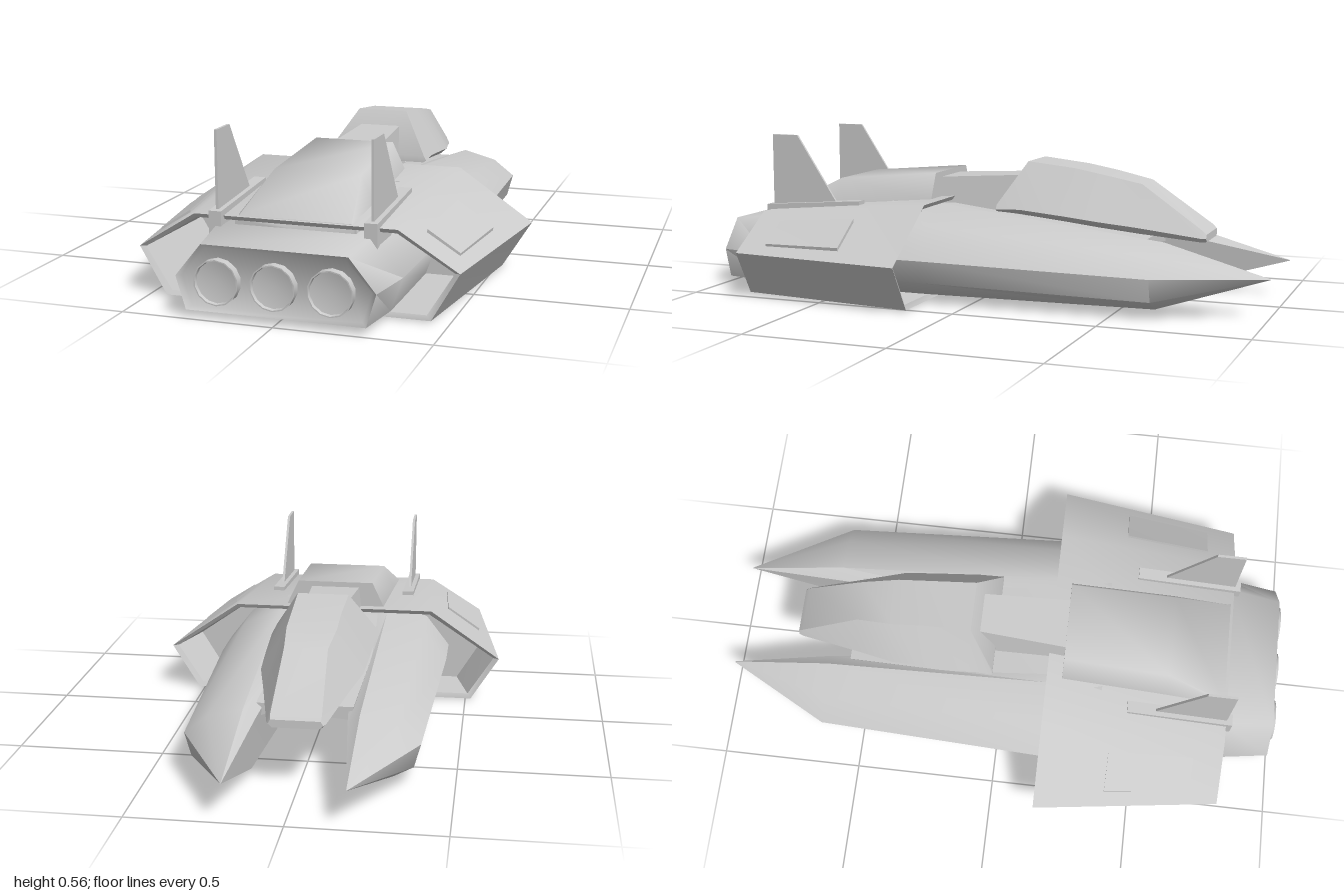
import * as THREE from 'three';
import { toCreasedNormals } from 'three/addons/utils/BufferGeometryUtils.js';

const material = new THREE.MeshStandardMaterial({ color: 0xcccccc, side: THREE.DoubleSide });

function addMesh(parent, name, geometry) {
  const mesh = new THREE.Mesh(geometry, material);
  mesh.name = name;
  parent.add(mesh);
  return mesh;
}

// Capped skin through rings of [x, y]; rings run counter-clockwise seen from +z, sections from +z to -z.
function loft(sections, crease = 0.65) {
  const n = sections[0].ring.length, position = [], index = [];
  for (const { z, ring } of sections) for (const [x, y] of ring) position.push(x, y, z);
  for (let i = 0; i < sections.length - 1; i++) {
    for (let j = 0; j < n; j++) {
      const a = i * n + j, b = i * n + (j + 1) % n;
      index.push(a, a + n, b, b, a + n, b + n);
    }
  }
  const last = (sections.length - 1) * n;
  for (let j = 1; j < n - 1; j++) index.push(0, j, j + 1, last, last + j + 1, last + j);
  const geometry = new THREE.BufferGeometry();
  geometry.setAttribute('position', new THREE.Float32BufferAttribute(position, 3));
  geometry.setIndex(index);
  return toCreasedNormals(geometry, crease);
}

// Symmetric ring from its right half, listed bottom to top
const symmetric = half => [...half, ...half.map(([x, y]) => [-x, y]).reverse()];
const section = (z, ...half) => ({ z, ring: symmetric(half) });
const mirrorSection = ({ z, ring }, side) =>
  ({ z, ring: side > 0 ? ring : ring.map(([x, y]) => [-x, y]).reverse() });

// Plate with a [z, y] outline, centred on x
function sideSlab(points, thickness, x) {
  const shape = new THREE.Shape(points.map(p => new THREE.Vector2(...p)));
  const geometry = new THREE.ExtrudeGeometry(shape, { depth: thickness, bevelEnabled: false });
  return geometry.rotateY(-Math.PI / 2).translate(x + thickness / 2, 0, 0);
}

export function createModel() {
  const model = new THREE.Group();
  model.name = 'spacecraft';

  // Hexagonal hull shell, hollow at both ends
  addMesh(model, 'hull', loft([
    section(0.40, [0.42, 0.025], [0.50, 0.158], [0.32, 0.268]),
    section(0.80, [0.425, 0.018], [0.512, 0.158], [0.33, 0.268]),
    section(0.81, [0.44, 0.004], [0.53, 0.16], [0.335, 0.282]),
    section(0.16, [0.52, 0.004], [0.62, 0.165], [0.365, 0.34]),
    section(0.17, [0.508, 0.02], [0.6, 0.165], [0.358, 0.325]),
    section(0.34, [0.46, 0.025], [0.545, 0.165], [0.345, 0.305]),
  ]));

  // Engine block with a framed rear face
  addMesh(model, 'engineBlock', loft([
    section(0.972, [0.275, 0.035], [0.305, 0.13], [0.225, 0.222]),
    section(0.985, [0.29, 0.024], [0.322, 0.13], [0.236, 0.236]),
    section(0.80, [0.31, 0.02], [0.35, 0.13], [0.258, 0.255]),
    section(0.38, [0.31, 0.02], [0.35, 0.13], [0.258, 0.255]),
  ], 1));

  // Three thruster nozzles
  const nozzleProfile = [[0, 0.975], [0.067, 0.988], [0.069, 1], [0.073, 1], [0.073, 0.96]]
    .map(([r, z]) => new THREE.Vector2(r, z));
  for (const x of [-0.183, 0, 0.183]) {
    const nozzle = toCreasedNormals(new THREE.LatheGeometry(nozzleProfile, 14), 0.6);
    addMesh(model, 'nozzle', nozzle.rotateX(Math.PI / 2).translate(x, 0.122, 0));
  }

  // Raised back of the hull
  addMesh(model, 'dorsalHump', loft([
    section(0.80, [0.2, 0.22], [0.2, 0.272], [0.185, 0.285]),
    section(0.59, [0.198, 0.22], [0.195, 0.29], [0.148, 0.392]),
    section(0.215, [0.188, 0.22], [0.185, 0.33], [0.14, 0.425]),
  ], 1.3));

  // Neck that carries the cockpit
  addMesh(model, 'neck', loft([
    section(0.23, [0.105, 0.28], [0.09, 0.405]),
    section(-0.12, [0.09, 0.26], [0.07, 0.425]),
  ]));

  // Spine that joins the pods below the cockpit, leaving a channel on the underside
  addMesh(model, 'spine', loft([
    section(0.33, [0.08, 0.2], [0.16, 0.13], [0.2, 0.31]),
    section(0.16, [0.08, 0.2], [0.16, 0.13], [0.2, 0.315]),
    section(-0.56, [0.1, 0.2], [0.15, 0.18], [0.16, 0.225]),
  ]));

  // Faceted cockpit
  addMesh(model, 'cockpit', loft([
    section(-0.035, [0.18, 0.305], [0.19, 0.312], [0.182, 0.328]),
    section(-0.12, [0.165, 0.297], [0.187, 0.315], [0.09, 0.475]),
    section(-0.29, [0.155, 0.277], [0.18, 0.298], [0.085, 0.457]),
    section(-0.40, [0.148, 0.263], [0.174, 0.285], [0.085, 0.437]),
    section(-0.53, [0.12, 0.245], [0.143, 0.268], [0.072, 0.41]),
    section(-0.745, [0.08, 0.22], [0.095, 0.235], [0.082, 0.262]),
    section(-0.76, [0.075, 0.222], [0.088, 0.234], [0.08, 0.248]),
  ], 0.75));

  // Long pointed pods, tail fins and side panels in mirrored pairs
  const podRear = [[0.425, 0.155], [0.34, 0.265], [0.2, 0.325], [0.08, 0.29], [0.11, 0.025], [0.34, 0.025], [0.40, 0.075]];
  const podFront = [[0.387, 0.14], [0.31, 0.2], [0.19, 0.232], [0.15, 0.2], [0.165, 0.025], [0.30, 0.025], [0.365, 0.06]];
  const podTip = podFront.map(([x, y]) => [0.19 + (x - 0.25) * 0.01, 0.13 + (y - 0.12) * 0.01]);
  for (const side of [1, -1]) {
    const prefix = side > 0 ? 'left' : 'right';
    const pod = [{ z: 0.36, ring: podRear }, { z: 0.16, ring: podRear },
      { z: -0.64, ring: podFront }, { z: -1, ring: podTip }];
    addMesh(model, prefix + 'Pod', loft(pod.map(s => mirrorSection(s, side)), 0.75));

    const fin = new THREE.Group();
    fin.name = prefix + 'TailFin';
    model.add(fin);
    addMesh(fin, 'finRail', sideSlab([[0.83, 0.2], [0.83, 0.3], [0.455, 0.328], [0.455, 0.28]], 0.042, side * 0.256));
    addMesh(fin, 'finBlade', sideSlab([[0.81, 0.29], [0.81, 0.555], [0.71, 0.555], [0.55, 0.31]], 0.009, side * 0.256));

    // Thin access panel lying on the sloped flank
    const panel = [
      { z: 0.705, ring: [[0.503, 0.184], [0.505, 0.195], [0.399, 0.263], [0.397, 0.25]] },
      { z: 0.405, ring: [[0.538, 0.192], [0.54, 0.204], [0.418, 0.287], [0.416, 0.27]] },
    ];
    addMesh(model, prefix + 'AccessPanel', loft(panel.map(s => mirrorSection(s, side)), 0.1));
  }

  // Belly plate with four square bays
  const plate = new THREE.Shape([[-0.29, 0.2], [0.29, 0.2], [0.29, 0.8], [-0.29, 0.8]]
    .map(p => new THREE.Vector2(...p)));
  for (const x of [-0.13, 0.13]) {
    for (const z of [0.38, 0.61]) {
      plate.holes.push(new THREE.Path([[-1, -1], [-1, 1], [1, 1], [1, -1]]
        .map(([u, v]) => new THREE.Vector2(x + u * 0.085, z + v * 0.08))));
    }
  }
  const belly = new THREE.ExtrudeGeometry(plate, { depth: 0.008, bevelEnabled: false });
  addMesh(model, 'bellyPlate', belly.rotateX(Math.PI / 2).translate(0, 0.008, 0));

  return model;
}
